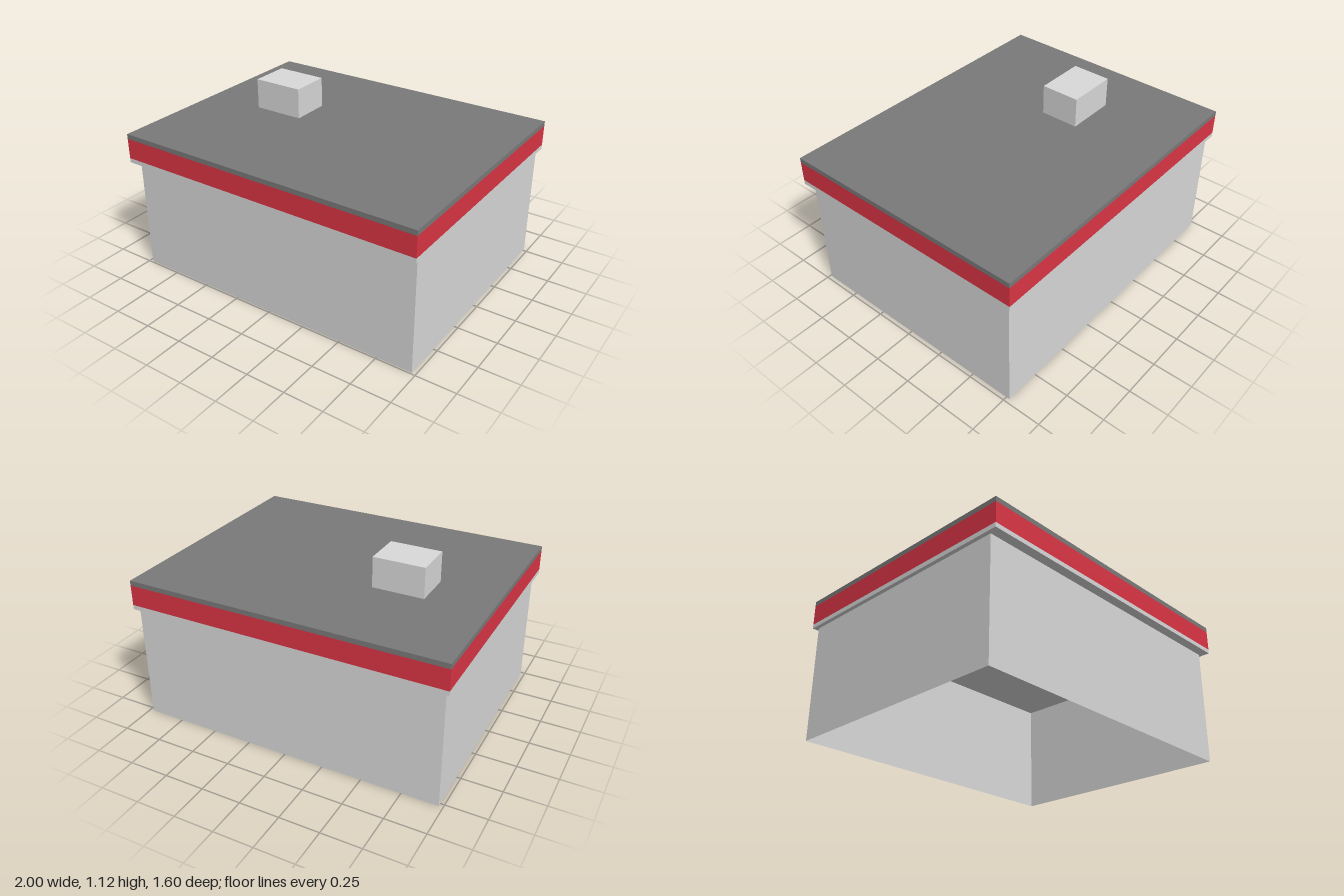
import * as THREE from 'three';

const material = (name, color, side = THREE.FrontSide) => {
  const m = new THREE.MeshStandardMaterial({ color, side });
  m.name = name;
  return m;
};

// Box between two corners, keeping only the listed faces (0 +x, 1 -x, 2 +y, 3 -y, 4 +z, 5 -z)
function boxFaces(name, mat, [x0, y0, z0], [x1, y1, z1], faces) {
  const geo = new THREE.BoxGeometry(x1 - x0, y1 - y0, z1 - z0);
  geo.translate((x0 + x1) / 2, (y0 + y1) / 2, (z0 + z1) / 2);
  const index = Array.from(geo.index.array);
  geo.setIndex(faces.flatMap((f) => index.slice(f * 6, f * 6 + 6)));
  geo.clearGroups();
  const mesh = new THREE.Mesh(geo, mat);
  mesh.name = name;
  return mesh;
}

export function createModel() {
  const group = new THREE.Group();
  group.name = 'flatRoofBuilding';

  const lightGrey = material('light grey', 0xd9d9d9, THREE.DoubleSide);
  const darkGrey = material('dark grey', 0x7a7a7a);
  const red = material('red', 0xdc3545);
  const sides = [0, 1, 4, 5];

  // Thin walls, open at the bottom
  group.add(boxFaces('walls', lightGrey, [-0.975, 0, -0.773], [0.975, 0.74, 0.74], sides));

  // Overhanging roof slab: pale lower trim and underside, red band, dark top edge and roof surface
  const bands = [
    ['lowerTrim', lightGrey, 0.74, 0.768, [...sides, 3]],
    ['redBand', red, 0.768, 0.897, sides],
    ['roofTop', darkGrey, 0.897, 0.928, [...sides, 2]],
  ];
  for (const [name, mat, y0, y1, faces] of bands) {
    group.add(boxFaces(name, mat, [-1, y0, -0.8], [1, y1, 0.8], faces));
  }

  // Rooftop unit
  group.add(boxFaces('rooftopUnit', lightGrey, [-0.615, 0.928, -0.225], [-0.292, 1.12, 0.025], [...sides, 2]));

  return group;
}
